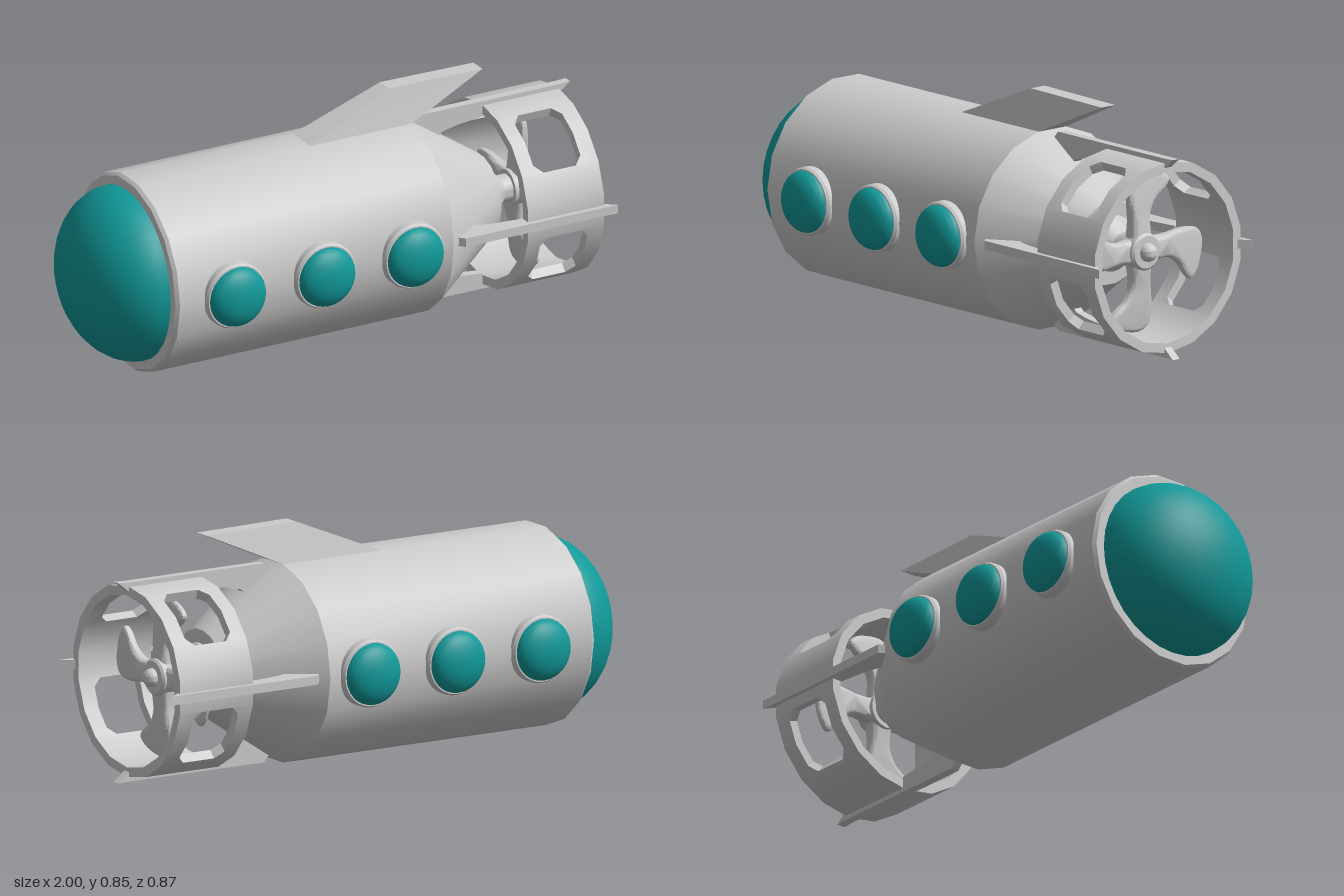
import * as THREE from 'three';
import { mergeGeometries, toCreasedNormals } from 'three/addons/utils/BufferGeometryUtils.js';

const AXIS_Y = 0.358;
const RAD = Math.PI / 180;
const grey = new THREE.MeshStandardMaterial({ color: 0xcccccc });
const teal = new THREE.MeshStandardMaterial({ color: 0x119999 });

function mesh(name, geometry, material = grey) {
  const m = new THREE.Mesh(geometry, material);
  m.name = name;
  return m;
}

// Turned part: points are [radius, position along the axis], in rising order
function turned(points, sides, crease = 0.5) {
  const g = new THREE.LatheGeometry(points.map(([r, a]) => new THREE.Vector2(r, a)), sides);
  return toCreasedNormals(g, crease);
}

// Half ellipsoid profile from rim to tip
function domeProfile(radius, height, base) {
  const pts = [];
  for (let i = 0; i <= 12; i++) {
    const t = (i / 12) * Math.PI / 2;
    pts.push([i === 12 ? 0 : radius * Math.cos(t), base + height * Math.sin(t)]);
  }
  return pts;
}

const polygon = (pts) => new THREE.Shape(pts.map(([x, y]) => new THREE.Vector2(x, y)));

// Eighteen-sided tail duct; each window takes up two neighbouring faces
function ductGeometry() {
  const inner = 0.303, wall = 0.034, x0 = 0.65, x1 = 0.955, w0 = 0.705, w1 = 0.895, c = 0.03;
  const windowStarts = [40, 120, 200, 320];
  const panels = [];
  for (let deg = 0; deg < 360; deg += 20) {
    const first = windowStarts.includes(deg), second = windowStarts.includes(deg - 20);
    const s = second ? -1 : 1;
    const shapes = first || second
      ? [
        polygon([[x0, -s], [w0 + c, -s], [w0, -0.45 * s], [w0, s], [x0, s]]),
        polygon([[x1, -s], [w1 - c, -s], [w1, -0.45 * s], [w1, s], [x1, s]]),
      ]
      : [polygon([[x0, -1], [x1, -1], [x1, 1], [x0, 1]])];
    const g = new THREE.ExtrudeGeometry(shapes, { depth: wall, bevelEnabled: false });
    // Wrap the flat panel onto its face, mitring the ends
    const p = g.attributes.position, sin = Math.sin(deg * RAD), cos = Math.cos(deg * RAD);
    for (let i = 0; i < p.count; i++) {
      const r = inner + p.getZ(i), t = p.getY(i) * Math.tan(10 * RAD) * r;
      p.setXYZ(i, p.getX(i), r * sin + t * cos, r * cos - t * sin);
    }
    panels.push(g);
  }
  return toCreasedNormals(mergeGeometries(panels), 0.5);
}

// Curved propeller blade, thinner towards its tip
function bladeGeometry() {
  const shape = new THREE.Shape();
  shape.moveTo(-0.045, 0.04);
  shape.splineThru([[-0.042, 0.11], [-0.053, 0.2], [-0.042, 0.265], [0, 0.29], [0.06, 0.284],
    [0.11, 0.266], [0.136, 0.238], [0.118, 0.21], [0.07, 0.175], [0.041, 0.12], [0.045, 0.04]]
    .map(([x, y]) => new THREE.Vector2(x, y)));
  const g = new THREE.ExtrudeGeometry(shape, {
    depth: 0.012, curveSegments: 40, bevelSize: 0.018, bevelOffset: -0.018,
    bevelThickness: 0.018, bevelSegments: 4,
  });
  g.translate(0, 0, -0.006);
  const p = g.attributes.position;
  for (let i = 0; i < p.count; i++) p.setZ(i, p.getZ(i) * (1.5 - 3.8 * p.getY(i)));
  g.rotateY(Math.PI / 2);
  return toCreasedNormals(g, 0.9);
}

// Swept, tapered prism on top of the hull
function dorsalFinGeometry() {
  const g = new THREE.BoxGeometry(1, 1, 1);
  const p = g.attributes.position;
  for (let i = 0; i < p.count; i++) {
    const top = p.getY(i) > 0, back = p.getX(i) > 0, side = Math.sign(p.getZ(i));
    if (top) p.setXYZ(i, back ? 0.64 : 0.265, back ? 0.487 : 0.492, side * 0.032);
    else p.setXYZ(i, back ? 0.32 : -0.09, 0.345, side * 0.065);
  }
  g.computeVertexNormals();
  return g;
}

export function createModel() {
  const model = new THREE.Group();
  model.name = 'submarine';
  const body = new THREE.Group();
  body.name = 'body';
  body.position.y = AXIS_Y;
  model.add(body);

  // Hull with tapered tail, turned around the x axis
  const hull = turned([[0, -0.77], [0.35, -0.77], [0.36, -0.758], [0.36, 0.34], [0.15, 0.65], [0, 0.65]], 18);
  body.add(mesh('hull', hull.rotateZ(-Math.PI / 2)));
  const nose = turned(domeProfile(0.315, 0.23, 0.77), 32);
  body.add(mesh('noseWindow', nose.rotateZ(Math.PI / 2), teal));

  // Three portholes on each side
  const rim = turned([[0.121, 0.3], [0.121, 0.368], [0.115, 0.378], [0, 0.378]], 32).rotateX(Math.PI / 2);
  const glass = turned(domeProfile(0.11, 0.057, 0.378), 32).rotateX(Math.PI / 2);
  for (const side of [0, 1]) {
    for (const x of [-0.538, -0.18, 0.175]) {
      const porthole = new THREE.Group();
      porthole.name = 'porthole';
      porthole.position.x = x;
      porthole.rotation.y = side * Math.PI;
      porthole.add(mesh('portholeRim', rim), mesh('portholeGlass', glass, teal));
      body.add(porthole);
    }
  }

  // Fins and duct
  body.add(mesh('dorsalFin', dorsalFinGeometry()));
  const tailFin = new THREE.ExtrudeGeometry(polygon([
    [0.36, 0.32], [0.39, 0.356], [0.955, 0.356], [1, 0.358], [0.955, 0.322], [0.66, 0.318],
    [0.65, 0.298], [0.55, 0.288], [0.49, 0.275], [0.46, 0.25],
  ]), { depth: 0.032, bevelEnabled: false }).translate(0, 0, -0.016);
  for (let k = 0; k < 4; k++) {
    const fin = mesh('tailFin', tailFin);
    fin.rotation.x = k * Math.PI / 2;
    body.add(fin);
  }
  body.add(mesh('duct', ductGeometry()));

  // Propeller on its shaft
  const propeller = new THREE.Group();
  propeller.name = 'propeller';
  const hub = turned([
    [0.1, 0.64], [0.1, 0.665], [0.05, 0.72], [0.05, 0.755], [0.066, 0.755], [0.066, 0.838], [0.058, 0.846],
    [0.033, 0.846], ...domeProfile(0.033, 0.033, 0.85),
  ], 32);
  propeller.add(mesh('hub', hub.rotateZ(-Math.PI / 2)));
  const blade = bladeGeometry();
  for (let k = 0; k < 4; k++) {
    const b = mesh('blade', blade);
    b.position.x = 0.8;
    b.rotation.x = k * Math.PI / 2;
    propeller.add(b);
  }
  body.add(propeller);
  return model;
}
